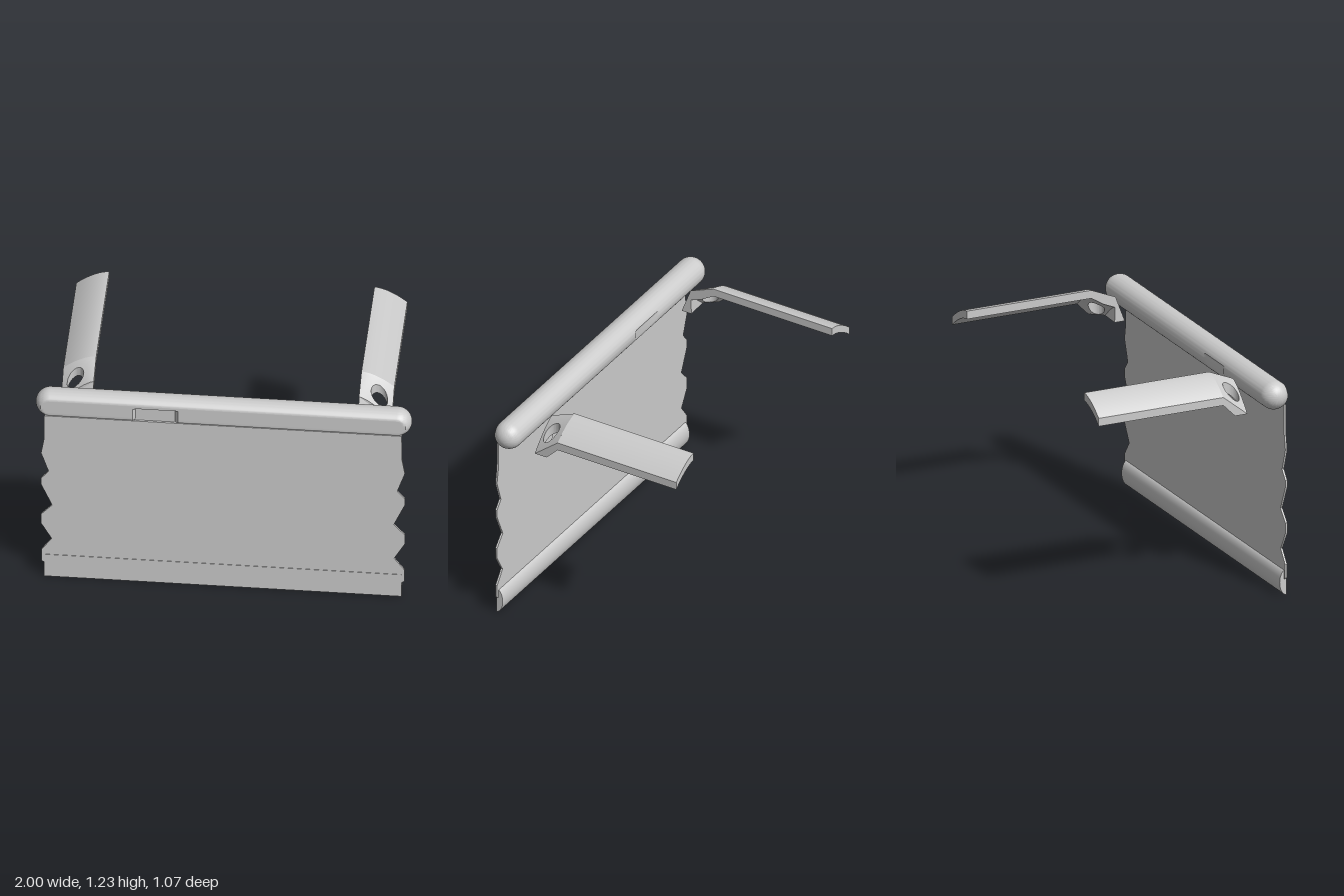
import * as THREE from 'three';
import { toCreasedNormals } from 'three/addons/utils/BufferGeometryUtils.js';
import { ConvexGeometry } from 'three/addons/geometries/ConvexGeometry.js';

const material = new THREE.MeshStandardMaterial({ color: 0xcccccc });

function addMesh(parent, name, geometry) {
  const mesh = new THREE.Mesh(toCreasedNormals(geometry, 0.6), material);
  mesh.name = name;
  parent.add(mesh);
}

// Skin over a list of closed rings of equal length
function loft(rings) {
  const n = rings[0].length;
  const index = [];
  for (let i = 0; i < rings.length - 1; i++) {
    for (let j = 0; j < n; j++) {
      const a = i * n + j, b = i * n + (j + 1) % n;
      index.push(a, b, a + n, b, b + n, a + n);
    }
  }
  const geometry = new THREE.BufferGeometry();
  geometry.setAttribute('position', new THREE.Float32BufferAttribute(rings.flat(2), 3));
  geometry.setIndex(index);
  geometry.computeVertexNormals();
  return geometry;
}

function extrude(points, depth) {
  const shape = new THREE.Shape(points.map(([x, y]) => new THREE.Vector2(x, y)));
  return new THREE.ExtrudeGeometry(shape, { depth, bevelEnabled: false });
}

// Mirror across x = 0 and turn the faces the right way round again
function mirrorX(source) {
  const geometry = source.index ? source.toNonIndexed() : source.clone();
  geometry.scale(-1, 1, 1);
  const p = geometry.attributes.position;
  const a = new THREE.Vector3(), b = new THREE.Vector3();
  for (let i = 0; i < p.count; i += 3) {
    a.fromBufferAttribute(p, i + 1);
    b.fromBufferAttribute(p, i + 2);
    p.setXYZ(i + 1, b.x, b.y, b.z);
    p.setXYZ(i + 2, a.x, a.y, a.z);
  }
  geometry.computeVertexNormals();
  return geometry;
}

// Round-ended bar with a flat front and a shallow recess at front and back
function barGeometry() {
  const r = 0.078, cy = 1.126, cz = 0.475, half = 1 - r, n = 72;
  const ring = (x, radius, notch) => Array.from({ length: n }, (_, j) => {
    const a = j / n * Math.PI * 2;
    const y = cy + radius * Math.cos(a);
    let z = Math.min(cz + radius * Math.sin(a), 0.536);
    if (notch && y > 1.064 && y < 1.147) z = THREE.MathUtils.clamp(z, 0.405, 0.522);
    return [x, y, z];
  });
  const rings = [];
  for (let i = 0; i <= 12; i++) {
    const a = i / 12 * Math.PI / 2;
    rings.push(ring(-half - r * Math.cos(a), r * Math.sin(a) + 1e-5, false));
  }
  rings.push(ring(-0.48, r, false), ring(-0.465, r, true), ring(-0.255, r, true), ring(-0.24, r, false));
  for (let i = 12; i >= 0; i--) {
    const a = i / 12 * Math.PI / 2;
    rings.push(ring(half + r * Math.cos(a), r * Math.sin(a) + 1e-5, false));
  }
  return loft(rings);
}

// Arm surface: curved across, sloping down beyond the bend at z = 0.2
const X0 = 0.705, X1 = 0.88, BEND = 0.2, TIP = 0.342;
function armTop(x, z) {
  const u = Math.max(0, (x - X0) / (X1 - X0));
  const s = THREE.MathUtils.clamp((z - BEND) / (TIP - BEND), 0, 1);
  return THREE.MathUtils.lerp(1.228 - 0.088 * u ** 1.7, 1.169 - 0.144 * u ** 1.4, s);
}
function armBottom(x, z) {
  const s = THREE.MathUtils.clamp((z - BEND) / (TIP - BEND), 0, 1);
  return Math.max(1.025, armTop(x, z) - 0.045 - 0.015 * Math.min(1, s * 2));
}

function armBeam() {
  const xs = Array.from({ length: 13 }, (_, i) => X0 + (X1 - X0) * i / 12);
  const lower = xs.map(x => [x, armBottom(x, 0)]);
  const upper = xs.map(x => [x, armTop(x, 0)]).reverse();
  return extrude([...lower, ...upper], BEND + 0.535).translate(0, 0, -0.535);
}

// Sloping plate pierced by a round hole
function armBend() {
  const cx = 0.808, cz = 0.28, radius = 0.044, steps = 10;
  const corners = [[X1, BEND], [X1, TIP], [X0, TIP], [X0, BEND]];
  const edge = [];
  corners.forEach(([x, z], k) => {
    const [nx, nz] = corners[(k + 1) % 4];
    for (let i = 0; i < steps; i++) edge.push([x + (nx - x) * i / steps, z + (nz - z) * i / steps]);
  });
  const ring = (t, height) => edge.map(([ex, ez]) => {
    const a = Math.atan2(ez - cz, ex - cx);
    const x = THREE.MathUtils.lerp(cx + radius * Math.cos(a), ex, t);
    const z = THREE.MathUtils.lerp(cz + radius * Math.sin(a), ez, t);
    return [x, height(x, z), z];
  });
  const ts = [0, 0.25, 0.5, 0.75, 1];
  return loft([
    ...ts.map(t => ring(t, armTop)),
    ...ts.slice().reverse().map(t => ring(t, armBottom)),
    ring(0, armTop),
  ]);
}

// Pointed end that meets the bar
function armTip() {
  return new ConvexGeometry([
    new THREE.Vector3(X0, 1.169, TIP),
    new THREE.Vector3(X1, 1.025, TIP),
    new THREE.Vector3(X0, 1.025, 0.397),
    new THREE.Vector3(X0, 1.025, TIP - 0.005),
  ]);
}

export function createModel() {
  const model = new THREE.Group();
  addMesh(model, 'topBar', barGeometry());

  // Hanging sheet with notched sides
  const side = [
    [0.95, 0.09], [0.965, 0.10], [0.965, 0.175], [0.91, 0.25], [0.967, 0.35], [0.967, 0.41],
    [0.908, 0.475], [0.967, 0.61], [0.967, 0.65], [0.927, 0.70], [0.967, 0.82], [0.952, 0.91], [0.95, 1.07],
  ];
  const outline = [...side, ...side.map(([x, y]) => [-x, y]).reverse()];
  addMesh(model, 'hangingSheet', extrude(outline, 0.011).translate(0, 0, 0.523));

  // Bottom rail: flat front, rounded back
  const rail = [];
  for (let i = 0; i <= 16; i++) {
    const a = i / 16 * Math.PI;
    rail.push([-0.537 + 0.039 * Math.sin(a), 0.0725 - 0.0725 * Math.cos(a)]);
  }
  addMesh(model, 'bottomRail', extrude(rail, 1.9).rotateY(Math.PI / 2).translate(-0.95, 0, 0));

  // Pair of arms reaching back
  const parts = { Beam: armBeam(), Bend: armBend(), Tip: armTip() };
  for (const name of ['left', 'right']) {
    const arm = new THREE.Group();
    arm.name = name + 'Arm';
    for (const [part, geometry] of Object.entries(parts)) {
      addMesh(arm, name + 'Arm' + part, name === 'left' ? geometry : mirrorX(geometry));
    }
    model.add(arm);
  }
  return model;
}
